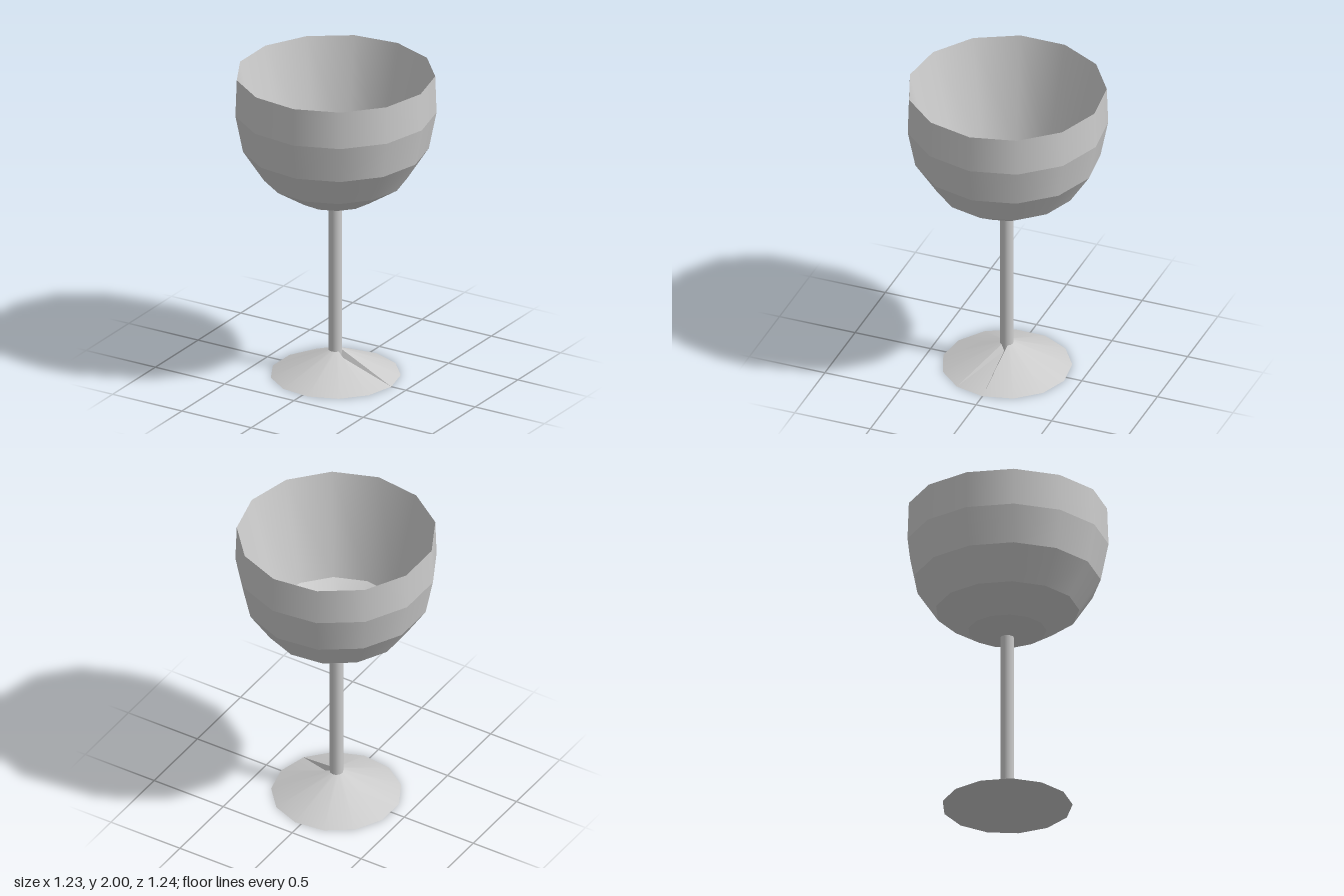
import * as THREE from 'three';
import { toCreasedNormals } from 'three/addons/utils/BufferGeometryUtils.js';

const SIDES = 13;
const STEM_R = 0.042;

export function createModel() {
  const group = new THREE.Group();
  const mat = new THREE.MeshStandardMaterial({ color: 0xcccccc, side: THREE.DoubleSide });

  const add = (name, geometry, parent = group) => {
    const mesh = new THREE.Mesh(geometry, mat);
    mesh.name = name;
    parent.add(mesh);
    return mesh;
  };

  // Open 13-sided ring between two heights, with a corner on +x
  const band = (rTop, yTop, rBottom, yBottom) =>
    new THREE.CylinderGeometry(rTop, rBottom, yTop - yBottom, SIDES, 1, true, Math.PI / 2)
      .translate(0, (yTop + yBottom) / 2, 0);

  // Flat 13-sided disk facing up or down
  const disk = (r, y, up) =>
    new THREE.CircleGeometry(r, SIDES).rotateX(up ? -Math.PI / 2 : Math.PI / 2).translate(0, y, 0);

  // Bowl: one ring per band, smooth around and creased between bands
  const bowl = new THREE.Group();
  bowl.name = 'bowl';
  group.add(bowl);
  const profile = [[0.615, 2], [0.6235, 1.76], [0.576, 1.52], [0.444, 1.317], [0.241, 1.185], [STEM_R, 1.14]];
  for (let i = 0; i < profile.length - 1; i++) {
    add('bowlBand' + (i + 1), band(...profile[i], ...profile[i + 1]), bowl);
  }

  // Straight inner wall and flat floor
  add('bowlInnerWall', band(0.615, 2, 0.444, 1.317), bowl);
  add('bowlFloor', disk(0.241, 1.187, true), bowl);

  // Stem
  add('stem', band(STEM_R, 1.14, STEM_R, 0.12));

  // Foot: shallow cone whose top corner on +x is sunk a little
  const foot = band(STEM_R, 0.16, 0.403, 0);
  foot.attributes.position.setY(0, 0.12);
  foot.attributes.position.setY(SIDES, 0.12);
  add('foot', toCreasedNormals(foot, 0.35));
  add('footUnderside', disk(0.403, 0, false));

  // An odd number of sides reaches further on +x, so shift to centre
  group.children.forEach((part) => { part.position.x = -0.009; });
  return group;
}
